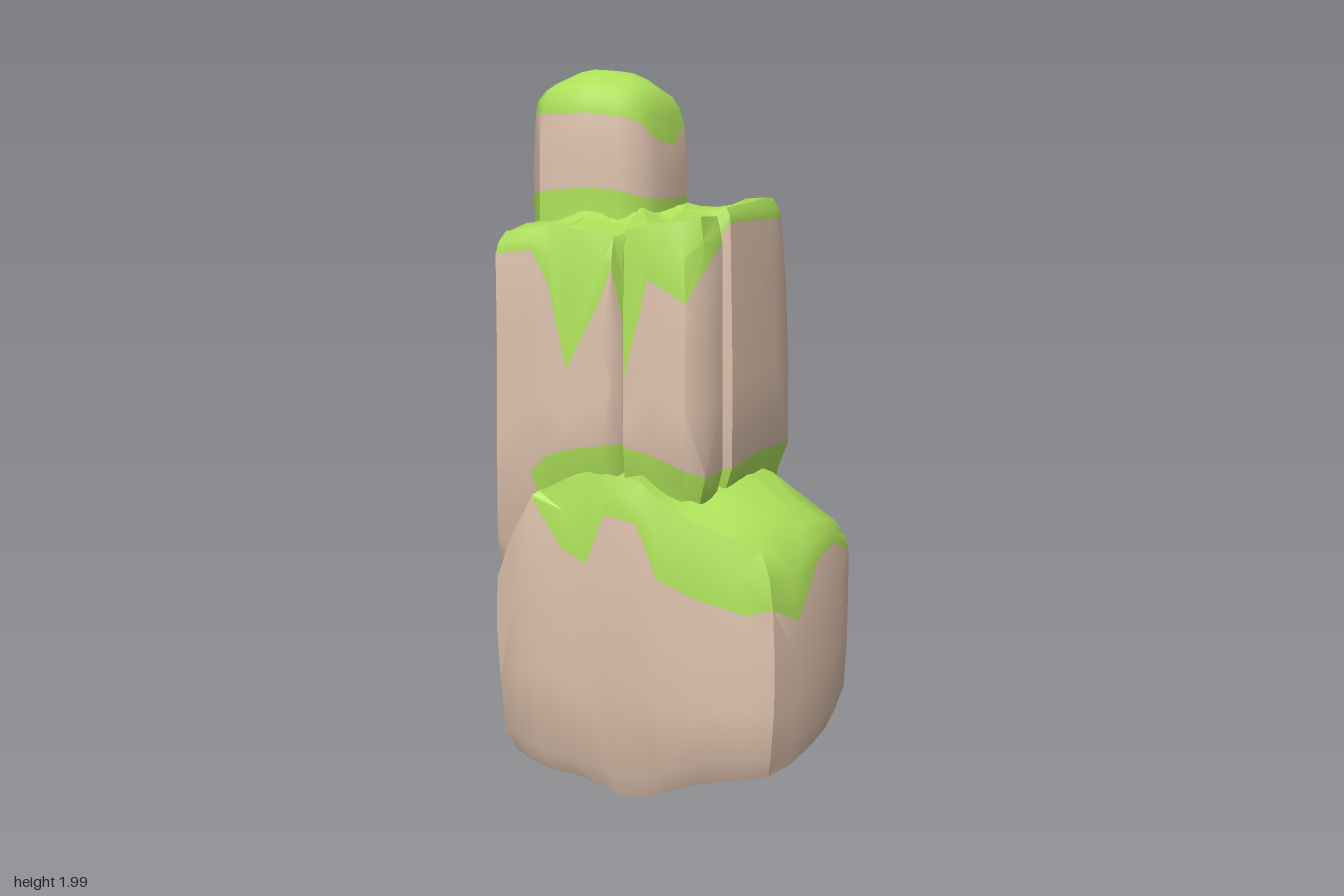
import * as THREE from 'three';
import { toCreasedNormals } from 'three/addons/utils/BufferGeometryUtils.js';

const rock = new THREE.MeshStandardMaterial({ name: 'rock', color: 0xdfc3ae });
const moss = new THREE.MeshStandardMaterial({ name: 'moss', color: 0xafe35b });

const { lerp, clamp } = THREE.MathUtils;

// Repeatable noise in -1..1
const noise = (i, k, seed) => {
  const s = Math.sin(i * 12.99 + k * 78.23 + seed * 37.7) * 43758.55;
  return (s - Math.floor(s)) * 2 - 1;
};

// Smooth lumps for the mossy tops
const lumps = (x, z) => Math.sin(x * 31 + z * 9) * Math.cos(z * 27 - x * 11);

// Each column of a stone: [x, z, foot height, lower moss edge, rim height],
// listed from the front, round by +x to the back.
const boulderColumns = [
  [-.41, .34, .07, .60, .62], [-.34, .38, .06, .745, .76], [-.27, .40, .05, .865, .88],
  [-.18, .40, .04, .73, .92], [-.10, .41, .03, .70, .94], [-.05, .41, .005, .84, .95],
  [.05, .415, .01, .83, .94], [.11, .415, .04, .68, .90], [.22, .40, .08, .63, .84],
  [.35, .385, .11, .60, .80], [.42, .35, .12, .61, .77], [.45, .24, .12, .55, .76],
  [.47, .10, .13, .68, .77], [.475, -.05, .13, .69, .76], [.46, -.21, .13, .62, .71],
  [.40, -.26, .10, .49, .69], [.25, -.345, .08, .60, .70], [.10, -.395, .07, .59, .70],
  [-.11, -.415, .06, .62, .68], [-.26, -.39, .08, .59, .62], [-.38, -.37, .10, .49, .57],
  [-.44, -.30, .10, .25, .54], [-.475, -.15, .12, .26, .52], [-.465, 0, .12, .28, .53],
  [-.45, .15, .12, .42, .54], [-.435, .26, .10, .54, .56],
];

const pillarColumns = [
  [-.40, .30, .60, 1.50, 1.57], [-.38, .34, .68, 1.52, 1.58], [-.27, .36, .86, 1.54, 1.60],
  [-.22, .36, .91, 1.45, 1.60], [-.17, .355, .93, 1.22, 1.60], [-.07, .355, .95, 1.42, 1.59],
  [-.045, .345, .95, 1.50, 1.58], [-.028, .31, .95, 1.35, 1.56], [-.01, .35, .95, 1.20, 1.60],
  [.06, .355, .94, 1.48, 1.62], [.16, .35, .90, 1.42, 1.63], [.20, .31, .88, 1.50, 1.64],
  [.207, .20, .87, 1.56, 1.63], [.185, .185, .87, 1.56, 1.60], [.22, .165, .87, 1.61, 1.65],
  [.235, 0, .88, 1.60, 1.65], [.237, -.12, .86, 1.59, 1.65],
  [.235, -.20, .84, 1.58, 1.64], [.20, -.24, .82, 1.56, 1.60], [.10, -.27, .78, 1.57, 1.60],
  [-.10, -.285, .74, 1.57, 1.60], [-.30, -.27, .68, 1.54, 1.58], [-.37, -.23, .62, 1.48, 1.55],
  [-.41, -.17, .58, 1.52, 1.56], [-.415, -.05, .58, 1.25, 1.57], [-.41, .08, .58, 1.50, 1.57],
  [-.41, .20, .58, 1.54, 1.57],
];

const capColumns = [
  [-.40, .08, 1.58, 1.88, 1.94], [-.35, .145, 1.60, 1.88, 1.95], [-.20, .165, 1.62, 1.89, 1.96],
  [-.11, .14, 1.61, 1.88, 1.95], [-.06, .095, 1.59, 1.86, 1.94], [-.04, .03, 1.58, 1.81, 1.94],
  [-.03, -.08, 1.57, 1.79, 1.93], [-.035, -.17, 1.57, 1.84, 1.92], [-.10, -.20, 1.56, 1.78, 1.92],
  [-.25, -.195, 1.55, 1.82, 1.93], [-.33, -.19, 1.54, 1.64, 1.92], [-.37, -.175, 1.54, 1.62, 1.92],
  [-.40, -.12, 1.54, 1.64, 1.92], [-.42, -.02, 1.56, 1.80, 1.93],
];

// Lofts rings up the columns: a tucked base, rock walls, moss edge, rim and mossy lid.
function stone(name, columns, o) {
  const n = columns.length;
  const [cx, cz] = o.center;
  const pos = [];
  const faces = [[], []];
  const put = (x, y, z) => pos.push(...(o.flare ? o.flare(x, y, z) : [x, y, z]));
  const ring = (k, scale, height) => columns.forEach((c, i) => {
    const s = scale * (1 + noise(i, k, o.seed) * .008);
    const x = cx + (c[0] - cx) * s, z = cz + (c[1] - cz) * s;
    const bump = k === 0 ? noise(i, 20, o.seed) * o.baseRough : k > 7 ? lumps(x, z) * o.lidRough : 0;
    put(x, height(c) + bump, z);
  });

  // Wall levels
  const heights = [
    c => c[2] + o.tuck,
    c => c[2],
    c => c[2] + .07,
    c => lerp(c[2] + .07, c[3], .35),
    c => lerp(c[2] + .07, c[3], .7),
    c => c[3],
    c => lerp(c[3], c[4], .55),
    c => c[4],
  ];
  heights.forEach((h, k) => ring(k, o.scales[k], h));

  // Lid levels, domed toward the middle
  const lids = [.84, .62, .42, .2];
  lids.forEach((s, j) => ring(8 + j, o.scales[7] * s, c => lerp(o.topY, c[4], s * s)));

  const last = heights.length + lids.length - 1;
  const bottom = pos.length / 3;
  put(cx, o.bottomY, cz);
  put(cx, o.topY, cz);

  const bare = c => c[4] - c[3] < .025;
  for (let i = 0; i < n; i++) {
    const j = (i + 1) % n;
    const mossyBase = Math.min(columns[i][2], columns[j][2]) > o.baseMossFrom;
    const mossyTop = !(bare(columns[i]) && bare(columns[j]));
    for (let k = 0; k < last; k++) {
      const a = k * n + i, b = k * n + j, c = b + n, d = a + n;
      const green = (k >= 5 && mossyTop) || (k < 2 && mossyBase);
      const tris = (i + k) % 2 ? [a, b, c, a, c, d] : [a, b, d, b, c, d];
      faces[green ? 1 : 0].push(...tris);
    }
    faces[0].push(bottom, j, i);
    faces[1].push(last * n + i, last * n + j, bottom + 1);
  }

  const g = new THREE.BufferGeometry();
  g.setAttribute('position', new THREE.Float32BufferAttribute(pos, 3));
  g.setIndex([...faces[0], ...faces[1]]);
  g.addGroup(0, faces[0].length, 0);
  g.addGroup(faces[0].length, faces[1].length, 1);
  const mesh = new THREE.Mesh(toCreasedNormals(g, .75), [rock, moss]);
  mesh.name = name;
  return mesh;
}

export function createModel() {
  const model = new THREE.Group();
  model.name = 'mossyRockStack';

  // Broad bottom boulder: rough underside, sloping +x shoulder, front and back drawn in at the foot
  model.add(stone('baseBoulder', boulderColumns, {
    center: [0, 0], seed: 1, tuck: .03, bottomY: .07, topY: .93, baseRough: .03, lidRough: .018,
    baseMossFrom: 9, scales: [.6, .94, .98, 1, 1, 1, .985, .94],
    flare: (x, y, z) => [
      x > 0 ? x * (1 - .06 * clamp((y - .58) / .2, 0, 1)) : x,
      y,
      z * (1 - .1 * clamp((.18 - y) / .14, 0, 1)),
    ],
  }));

  // Tall split pillar, its back leaning outward toward the foot
  model.add(stone('middlePillar', pillarColumns, {
    center: [-.09, .03], seed: 2, tuck: -.14, bottomY: .6, topY: 1.61, baseRough: .01, lidRough: .025,
    baseMossFrom: .8, scales: [.88, .93, 1, 1, 1, 1, .99, .95],
    flare: (x, y, z) => {
      const t = Math.sqrt(clamp((1.6 - y) / .75, 0, 1));
      return [x * (1 + .05 * t), y, z * (1 + (z < 0 ? .4 : .04) * t)];
    },
  }));

  // Rounded stone on top
  model.add(stone('topStone', capColumns, {
    center: [-.22, -.02], seed: 3, tuck: -.08, bottomY: 1.5, topY: 1.995, baseRough: 0, lidRough: .005,
    baseMossFrom: 1.53, scales: [1.02, 1, 1, 1, .985, .955, .91, .81],
  }));

  return model;
}
